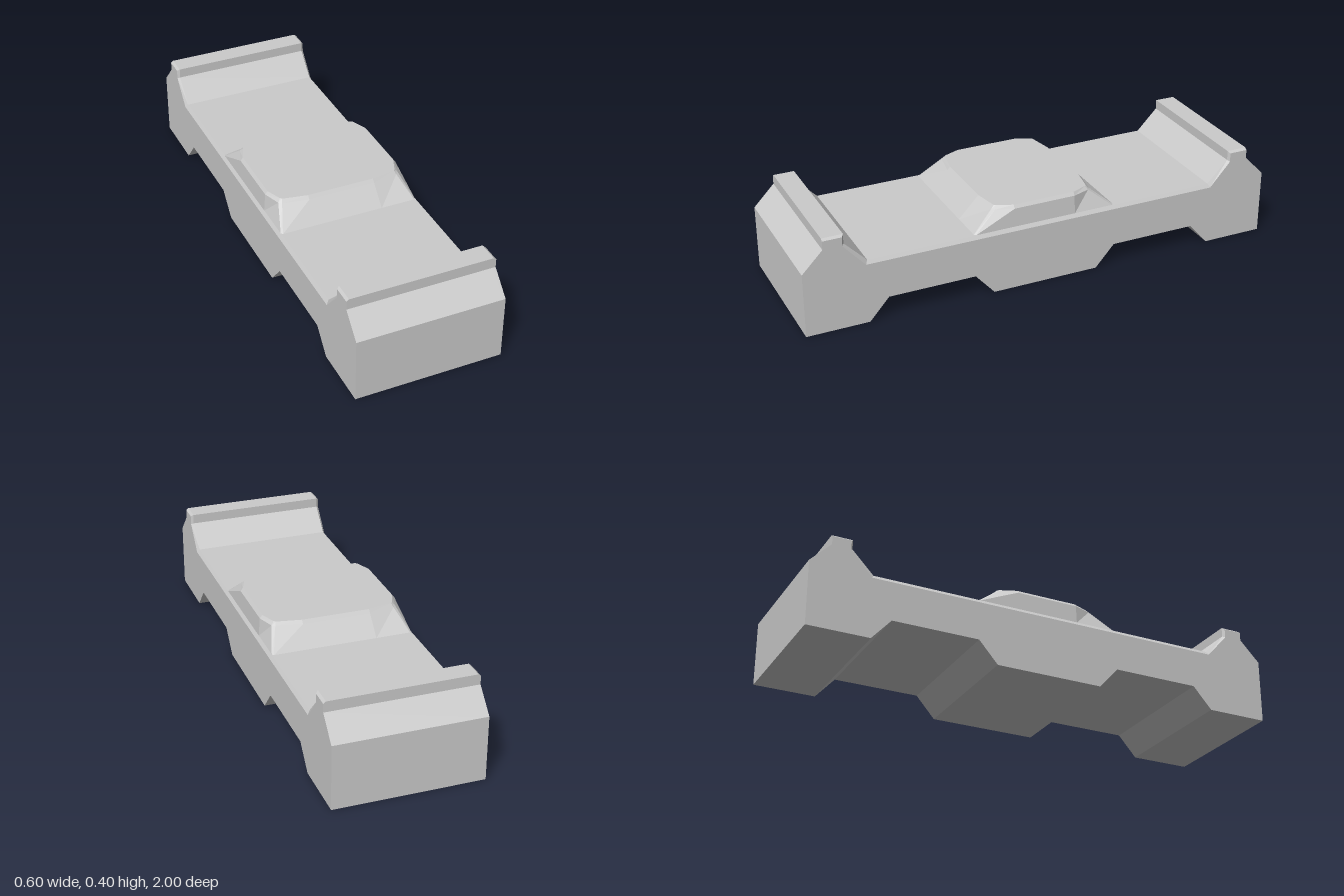
import * as THREE from 'three';

const material = new THREE.MeshStandardMaterial({ color: 0xcccccc, flatShading: true });

function makeMesh(name, positions) {
  const geometry = new THREE.BufferGeometry();
  geometry.setAttribute('position', new THREE.Float32BufferAttribute(positions, 3));
  geometry.computeVertexNormals();
  const mesh = new THREE.Mesh(geometry, material);
  mesh.name = name;
  return mesh;
}

// Joins two closed loops of [x, y, z] points with quads.
function bridge(out, lower, upper) {
  lower.forEach((a, i) => {
    const j = (i + 1) % lower.length;
    out.push(...a, ...lower[j], ...upper[j], ...a, ...upper[j], ...upper[i]);
  });
}

// Completes a front-half profile of [z, y] points with its rear mirror image.
function mirrorProfile(upper) {
  const under = [[0.745, 0], [0.665, 0.09], [0.305, 0.09], [0.225, 0]];
  const flip = (list) => list.map(([z, y]) => [-z, y]).reverse();
  return [...upper, ...flip(upper), ...flip(under).reverse(), ...under.slice().reverse()];
}

// Bar with stepped ends and a notched underside; its top side edges are bevelled.
function createBody() {
  const inner = mirrorProfile([[1, 0], [1, 0.265], [0.915, 0.352], [0.915, 0.395],
    [0.83, 0.395], [0.83, 0.355], [0.742, 0.265]]);
  const outer = mirrorProfile([[1, 0], [1, 0.265], [0.915, 0.352], [0.915, 0.387],
    [0.838, 0.387], [0.838, 0.349], [0.75, 0.25]]);
  const out = [];
  const section = (profile, x) => profile.map(([z, y]) => [x, y, z]);
  const loops = [section(outer, -0.3), section(inner, -0.29), section(inner, 0.29), section(outer, 0.3)];
  for (let i = 0; i < 3; i++) bridge(out, loops[i + 1], loops[i]);

  // Flat side walls
  const flat = outer.map(([z, y]) => new THREE.Vector2(z, y));
  for (const [a, b, c] of THREE.ShapeUtils.triangulateShape(flat, [])) {
    const ccw = THREE.ShapeUtils.area([flat[a], flat[b], flat[c]]) > 0;
    const [p, q] = ccw ? [b, c] : [c, b];
    out.push(...loops[0][a], ...loops[0][p], ...loops[0][q]);
    out.push(...loops[3][a], ...loops[3][q], ...loops[3][p]);
  }

  // Strip winding is made to face outward
  const stripLength = 3 * outer.length * 18;
  for (let i = 0; i < stripLength; i += 9) {
    for (let k = 0; k < 3; k++) {
      [out[i + 3 + k], out[i + 6 + k]] = [out[i + 6 + k], out[i + 3 + k]];
    }
  }
  return orient(out, stripLength);
}

// Turns the strips over if the front face looks backward.
function orient(out, length) {
  for (let i = 0; i < length; i += 9) {
    const [a, b, c] = [0, 3, 6].map((k) => new THREE.Vector3().fromArray(out, i + k));
    if (Math.min(a.z, b.z, c.z) < 0.999) continue;
    if (b.sub(a).cross(c.sub(a)).z < 0) {
      for (let j = 0; j < length; j += 9) {
        for (let k = 0; k < 3; k++) [out[j + 3 + k], out[j + 6 + k]] = [out[j + 6 + k], out[j + 3 + k]];
      }
    }
    break;
  }
  return makeMesh('body', out);
}

// Raised centre pad with sloped ends, cut corners and a narrow top bevel.
function createPad() {
  const ring = (y, corner) => {
    const back = corner.slice().reverse();
    return [
      ...corner.map(([x, z]) => [x, y, z]),
      ...back.map(([x, z]) => [x, y, -z]),
      ...corner.map(([x, z]) => [-x, y, -z]),
      ...back.map(([x, z]) => [-x, y, z]),
    ];
  };
  const base = ring(0.264, [[0.14, 0.305], [0.284, 0.305], [0.29, 0.298], [0.29, 0.13]]);
  const shoulder = ring(0.34, [[0.14, 0.232], [0.247, 0.213], [0.259, 0.203], [0.284, 0.13]]);
  const top = ring(0.353, [[0.14, 0.22], [0.242, 0.201], [0.248, 0.194], [0.274, 0.13]]);
  const out = [];
  bridge(out, base, shoulder);
  bridge(out, shoulder, top);
  top.forEach((p, i) => out.push(0, 0.353, 0, ...p, ...top[(i + 1) % top.length]));
  return makeMesh('centrePad', out);
}

export function createModel() {
  const group = new THREE.Group();
  group.name = 'notchedBar';
  group.add(createBody(), createPad());
  return group;
}
